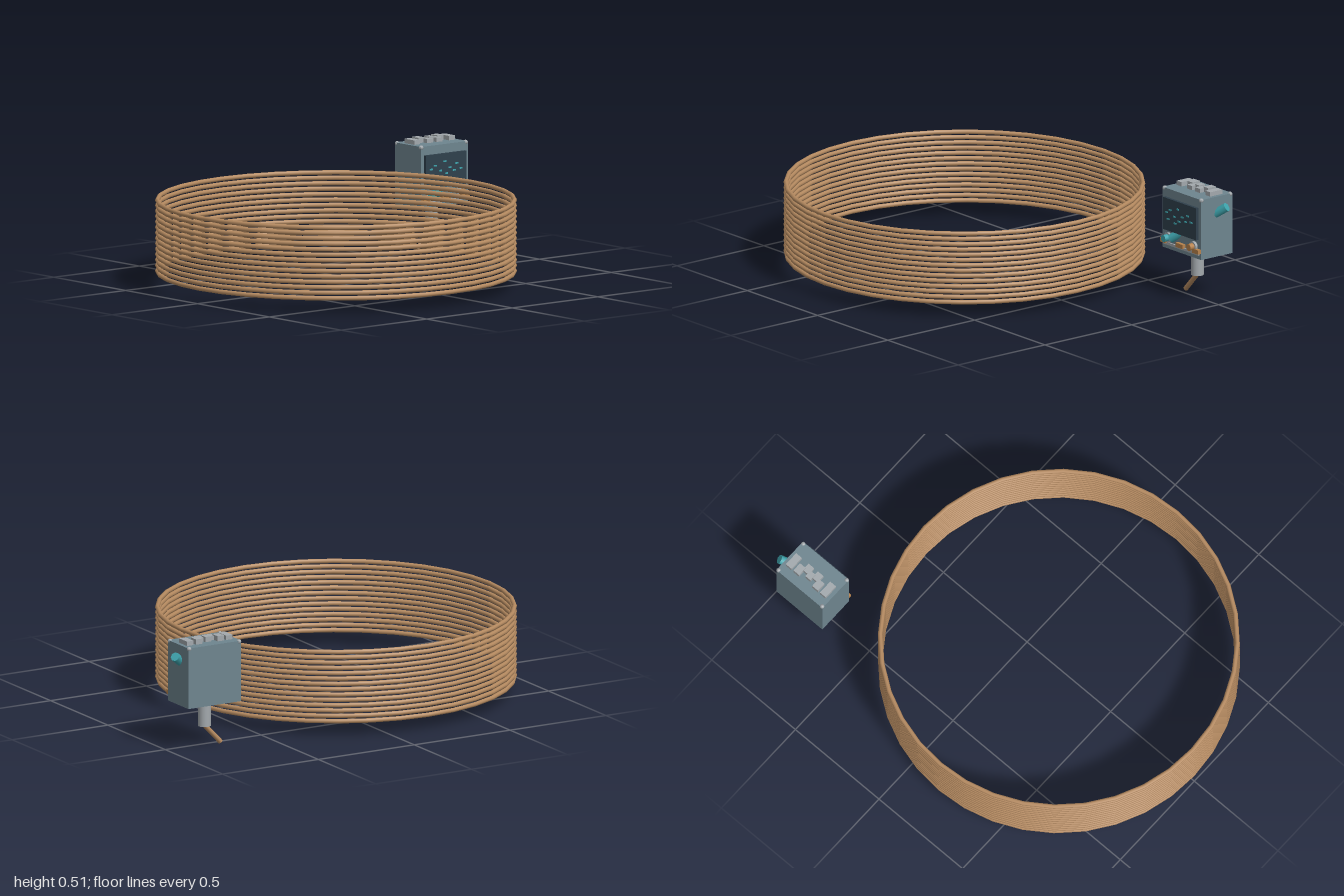
import * as THREE from 'three';

const mat = (name, color) => {
  const m = new THREE.MeshStandardMaterial({ color });
  m.name = name;
  return m;
};

export function createModel() {
  const root = new THREE.Group();
  const copper = mat('copper', 0xb58a60);
  const slate = mat('slate', 0x6e858f);
  const dark = mat('dark screen', 0x2f404c);
  const teal = mat('teal', 0x3fa5ae);
  const steel = mat('steel', 0xa3a9ad);
  const amber = mat('amber', 0xb8834c);

  const add = (parent, name, geo, material, x = 0, y = 0, z = 0) => {
    const m = new THREE.Mesh(geo, material);
    m.name = name;
    m.position.set(x, y, z);
    parent.add(m);
    return m;
  };
  const box = (parent, name, material, w, h, d, x, y, z) =>
    add(parent, name, new THREE.BoxGeometry(w, h, d), material, x, y, z);
  // Cylinder running between two points
  const rod = (parent, name, material, a, b, r, sides) => {
    const from = new THREE.Vector3(...a), to = new THREE.Vector3(...b);
    const dir = to.clone().sub(from);
    const m = add(parent, name, new THREE.CylinderGeometry(r, r, dir.length(), sides), material);
    m.position.copy(from).add(to).multiplyScalar(0.5);
    m.quaternion.setFromUnitVectors(new THREE.Vector3(0, 1, 0), dir.normalize());
    return m;
  };

  // Stack of separate wire loops
  const coil = new THREE.Group();
  coil.name = 'coil';
  root.add(coil);
  const loop = new THREE.TorusGeometry(0.8, 0.0105, 8, 36).rotateX(Math.PI / 2);
  const loops = 14;
  for (let i = 0; i < loops; i++) {
    add(coil, 'wireLoop', loop, copper, -0.19, 0.07 + (0.32 * i) / (loops - 1), 0);
  }

  // Control box
  const unit = new THREE.Group();
  unit.name = 'controlBox';
  root.add(unit);
  const cx = 0.813, cz = -0.53;
  box(unit, 'housing', slate, 0.275, 0.28, 0.18, cx, 0.35, cz);

  // Screen with a scatter of lit marks
  box(unit, 'screen', dark, 0.235, 0.15, 0.014, cx, 0.375, -0.433);
  const marks = [[-0.09, 0.01], [-0.065, 0.025], [-0.08, -0.02], [-0.035, 0.0], [-0.01, 0.04],
    [0.0, -0.015], [0.02, 0.01], [0.045, -0.005], [0.06, 0.025], [0.085, 0.0], [-0.03, -0.03]];
  for (const [x, y] of marks) {
    box(unit, 'screenMark', teal, 0.017, 0.007, 0.004, cx + x, 0.375 + y, -0.425);
  }

  // Lower control strip, terminals and knobs
  box(unit, 'controlStrip', steel, 0.255, 0.012, 0.008, cx, 0.235, -0.437);
  for (const [x, w] of [[-0.115, 0.04], [0, 0.05], [0.115, 0.04]]) {
    box(unit, 'terminal', amber, w, 0.02, 0.018, cx + x, 0.248, -0.432);
  }
  for (const [x, material] of [[-0.09, teal], [0.09, amber]]) {
    const base = new THREE.CylinderGeometry(0.023, 0.023, 0.012, 12).rotateX(Math.PI / 2);
    add(unit, 'knobBase', base, steel, cx + x, 0.265, -0.434);
    const knob = new THREE.CylinderGeometry(0.016, 0.016, 0.036, 12).rotateX(Math.PI / 2);
    add(unit, 'knob', knob, material, cx + x, 0.265, -0.423);
  }

  // Keys on the lid: two long outer ones and a staggered middle set
  for (const s of [-1, 1]) {
    box(unit, 'outerKey', steel, 0.034, 0.024, 0.07, cx + s * 0.102, 0.498, -0.542);
    box(unit, 'frontKey', steel, 0.034, 0.024, 0.04, cx + s * 0.028, 0.497, -0.527);
    box(unit, 'middleKey', steel, 0.034, 0.026, 0.045, cx + s * 0.056, 0.501, -0.555);
  }
  box(unit, 'middleKey', steel, 0.03, 0.026, 0.035, cx, 0.501, -0.545);

  // Corner bolts
  const bolt = new THREE.SphereGeometry(0.011, 8, 6);
  for (const sx of [-1, 1]) for (const sz of [-1, 1]) {
    add(unit, 'cornerBolt', bolt, steel, cx + sx * 0.13, 0.485, cz + sz * 0.083);
  }

  // Slanted rod through the housing
  rod(unit, 'slantedRod', teal, [0.752, 0.268, -0.427], [0.985, 0.444, -0.56], 0.021, 8);

  // Neck and feeler below
  add(unit, 'neck', new THREE.CylinderGeometry(0.029, 0.029, 0.12, 16), steel, cx, 0.155, cz);
  rod(unit, 'feeler', copper, [0.815, 0.1, cz], [0.73, 0.01, cz], 0.0115, 8);

  return root;
}
